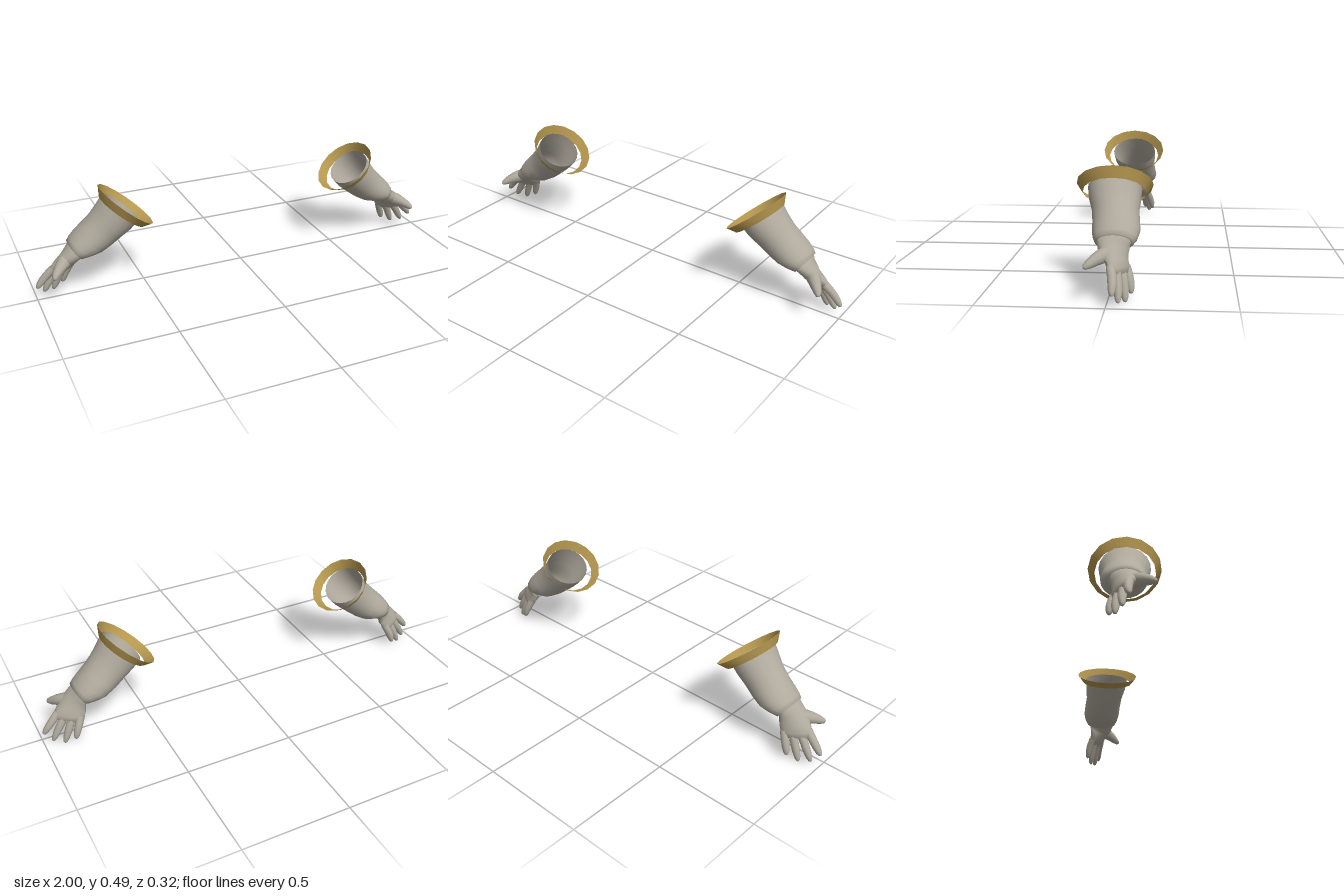
import * as THREE from 'three';

const V = (x, y, z) => new THREE.Vector3(x, y, z);
const cloth = new THREE.MeshStandardMaterial({ color: 0xb0aa9d, side: THREE.DoubleSide });
cloth.name = 'warm grey cloth';
const gold = new THREE.MeshStandardMaterial({ color: 0xb4964e, side: THREE.DoubleSide });
gold.name = 'gold';

// Skins a row of elliptical sections { c: centre, u, v: half axes }
function loft(sections, seg, side, capped) {
  const flip = (p) => V(p.x * side, p.y, p.z);
  const rings = sections.map((s) => ({ c: flip(s.c), u: flip(s.u), v: flip(s.v) }));
  const axis = rings[rings.length - 1].c.clone().sub(rings[0].c);
  const sign = rings[0].u.clone().cross(rings[0].v).dot(axis) < 0 ? -1 : 1;
  const pos = [], idx = [];
  for (const r of rings) {
    for (let i = 0; i < seg; i++) {
      const a = (i / seg) * Math.PI * 2;
      const p = r.c.clone().addScaledVector(r.u, Math.cos(a)).addScaledVector(r.v, sign * Math.sin(a));
      pos.push(p.x, p.y, p.z);
    }
  }
  for (let k = 0; k < rings.length - 1; k++) {
    for (let i = 0; i < seg; i++) {
      const a = k * seg + i, b = k * seg + ((i + 1) % seg);
      idx.push(a, b, a + seg, b, b + seg, a + seg);
    }
  }
  if (capped) {
    const last = (rings.length - 1) * seg;
    const tip = rings[rings.length - 1].c;
    pos.push(tip.x, tip.y, tip.z);
    for (let i = 0; i < seg; i++) idx.push(last + i, last + ((i + 1) % seg), rings.length * seg);
  }
  const g = new THREE.BufferGeometry();
  g.setAttribute('position', new THREE.Float32BufferAttribute(pos, 3));
  g.setIndex(idx);
  g.computeVertexNormals();
  return g;
}

// Sleeve section from its upper and lower edge points and its z range
function sleeveSection(ux, uy, lx, ly, zBack, zFront) {
  return {
    c: V((ux + lx) / 2, (uy + ly) / 2, (zBack + zFront) / 2),
    u: V((ux - lx) / 2, (uy - ly) / 2, 0),
    v: V(0, 0, (zFront - zBack) / 2),
  };
}

// Hand directions: across the knuckles, out of the back of the hand
const across = V(-0.86, -0.14, -0.48).normalize();
const back = V(0.37, 0.41, -0.78).normalize();

// Rounded digit along a path of [point, radius]
function digit(path, side) {
  const dir = path[path.length - 1][0].clone().sub(path[0][0]).normalize();
  const u = back.clone().addScaledVector(dir, -back.dot(dir)).normalize();
  const v = dir.clone().cross(u);
  return loft(path.map(([c, r]) => ({
    c, u: u.clone().multiplyScalar(r), v: v.clone().multiplyScalar(r),
  })), 10, side, true);
}

function buildArm(side) {
  const arm = new THREE.Group();
  arm.name = side > 0 ? 'leftArm' : 'rightArm';
  const add = (name, geo, mat) => {
    const m = new THREE.Mesh(geo, mat);
    m.name = name;
    arm.add(m);
  };

  // Flared gold band around the sleeve opening
  add('goldBand', loft([
    sleeveSection(0.68, 0.495, 0.45, 0.305, -0.16, 0.16),
    sleeveSection(0.68, 0.444, 0.495, 0.294, -0.132, 0.132),
  ], 16, side, false), gold);

  // Open sleeve, bulging before the wrist and turned in at the cuff
  add('sleeve', loft([
    sleeveSection(0.668, 0.452, 0.515, 0.325, -0.115, 0.11),
    sleeveSection(0.70, 0.405, 0.55, 0.288, -0.112, 0.102),
    sleeveSection(0.735, 0.362, 0.595, 0.252, -0.107, 0.086),
    sleeveSection(0.772, 0.325, 0.645, 0.215, -0.113, 0.079),
    sleeveSection(0.805, 0.293, 0.69, 0.19, -0.116, 0.077),
    sleeveSection(0.828, 0.268, 0.74, 0.178, -0.108, 0.07),
    sleeveSection(0.84, 0.25, 0.785, 0.172, -0.095, 0.06),
    sleeveSection(0.829, 0.238, 0.792, 0.187, -0.075, 0.045),
  ], 20, side, false), cloth);

  // Palm, twisting from the wrist to the line of the knuckles
  const palmSection = (c, t, w) => ({
    c, u: back.clone().multiplyScalar(t), v: across.clone().multiplyScalar(w),
  });
  add('palm', loft([
    { c: V(0.785, 0.24, -0.015), u: V(0.021, 0.032, 0), v: V(0, 0, -0.062) },
    { c: V(0.812, 0.21, -0.016), u: V(0.024, 0.034, 0), v: V(0, 0, -0.068) },
    { c: V(0.838, 0.178, -0.02), u: V(0.022, 0.029, -0.019), v: V(-0.035, -0.005, -0.054) },
    palmSection(V(0.858, 0.148, -0.032), 0.031, 0.068),
    palmSection(V(0.876, 0.122, -0.042), 0.025, 0.068),
    palmSection(V(0.888, 0.103, -0.046), 0.016, 0.06),
  ], 18, side, true), cloth);

  // Four fingers, from the thumb side outwards
  const tips = [V(0.995, 0.048, -0.024), V(0.962, 0.012, -0.046),
    V(0.915, 0.002, -0.07), V(0.867, 0.022, -0.09)];
  const names = ['indexFinger', 'middleFinger', 'ringFinger', 'littleFinger'];
  tips.forEach((tip, i) => {
    const base = V(0.87, 0.13, -0.039).addScaledVector(across, -0.051 + i * 0.034);
    const at = (t, lift) => base.clone().lerp(tip, t).addScaledVector(back, lift);
    add(names[i], digit([
      [at(0, 0), 0.019], [at(0.35, 0.004), 0.0185], [at(0.65, 0.004), 0.017],
      [at(0.86, 0.001), 0.0135], [at(0.97, 0), 0.008], [at(1, 0), 0.002],
    ], side), cloth);
  });

  // Thumb, reaching forwards
  add('thumb', digit([
    [V(0.85, 0.178, -0.005), 0.034], [V(0.878, 0.17, 0.025), 0.03],
    [V(0.9, 0.16, 0.05), 0.024], [V(0.919, 0.148, 0.071), 0.018],
    [V(0.93, 0.14, 0.085), 0.011], [V(0.933, 0.138, 0.09), 0.003],
  ], side), cloth);
  return arm;
}

export function createModel() {
  const model = new THREE.Group();
  model.name = 'glovedArms';
  for (const side of [1, -1]) model.add(buildArm(side));
  return model;
}
